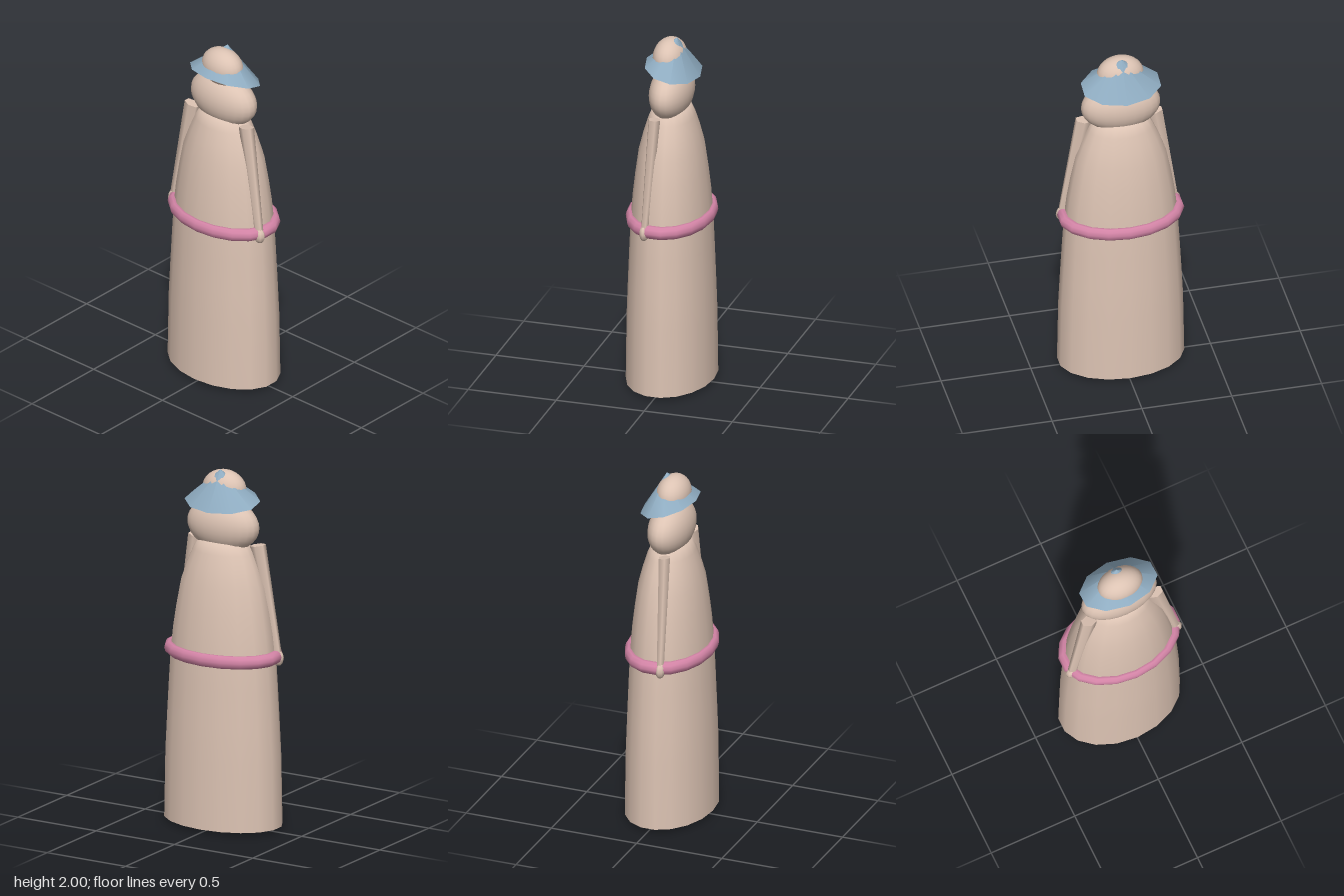
import * as THREE from 'three';

const skin = new THREE.MeshStandardMaterial({ color: 0xdcc3b3 });
skin.name = 'paleClay';
const pink = new THREE.MeshStandardMaterial({ color: 0xd384a6 });
pink.name = 'pinkBelt';
const blue = new THREE.MeshStandardMaterial({ color: 0x8facc1 });
blue.name = 'blueHat';
const brown = new THREE.MeshStandardMaterial({ color: 0x7d603c });
brown.name = 'brownShoe';

const SIDES = 18;
const DEPTH = 0.685; // the whole figure is flattened front to back

export function createModel() {
  const group = new THREE.Group();
  group.name = 'robedFigure';
  const figure = new THREE.Group();
  figure.name = 'figure';
  figure.scale.z = DEPTH;
  group.add(figure);

  const add = (name, geometry, material, x = 0, y = 0, z = 0) => {
    const mesh = new THREE.Mesh(geometry, material);
    mesh.name = name;
    mesh.position.set(x, y, z);
    figure.add(mesh);
    return mesh;
  };
  const ellipsoid = (rx, ry, rz, w, h) => new THREE.SphereGeometry(1, w, h).scale(rx, ry, rz);

  // Long robe with a flat underside
  const profile = [
    [0.35, 0.02], [0.343, 0.4], [0.333, 0.6], [0.322, 0.8], [0.312, 0.96], [0.297, 1.1],
    [0.278, 1.22], [0.251, 1.36], [0.215, 1.46], [0.18, 1.54], [0.145, 1.6], [0, 1.64],
  ].map(([r, y]) => new THREE.Vector2(r, y));
  add('robe', new THREE.LatheGeometry(profile, SIDES), skin);
  add('robeUnderside',
    new THREE.CircleGeometry(0.35, SIDES, Math.PI / 2).rotateX(Math.PI / 2), skin, 0, 0.02, 0);

  // Belt ring
  add('belt',
    new THREE.TorusGeometry(0.313, 0.037, 10, SIDES).rotateX(Math.PI / 2).rotateY(Math.PI / 2),
    pink, 0, 0.972, 0);

  // Wide collar and head
  add('collar', ellipsoid(0.22, 0.148, 0.165, 24, 16), skin, 0, 1.685, 0);
  add('head', ellipsoid(0.13, 0.108, 0.133, 24, 16), skin, 0, 1.882, 0.016);

  // Pointed hat tipped backwards
  const hat = add('hat', new THREE.ConeGeometry(0.224, 0.18, 10).translate(0, 0.09, 0),
    blue, 0, 1.823, -0.013);
  hat.rotation.x = -0.168;

  // Arms, hands and shoes on both sides
  for (const [side, s] of [['left', 1], ['right', -1]]) {
    const shoulder = new THREE.Vector3(0.197 * s, 1.587, 0.055);
    const wrist = new THREE.Vector3(0.305 * s, 0.98, 0.085);
    const axis = shoulder.clone().sub(wrist);
    const mid = shoulder.clone().add(wrist).multiplyScalar(0.5);
    const arm = add(side + 'Arm', new THREE.CylinderGeometry(0.048, 0.03, axis.length(), 6),
      skin, mid.x, mid.y, mid.z);
    arm.quaternion.setFromUnitVectors(new THREE.Vector3(0, 1, 0), axis.normalize());
    add(side + 'Hand', ellipsoid(0.036, 0.045, 0.04, 8, 6), skin, 0.311 * s, 0.963, 0.088);
    add(side + 'Shoe', ellipsoid(0.06, 0.035, 0.08, 8, 6), brown, 0.132 * s, 0.035, 0.117);
  }

  return group;
}
